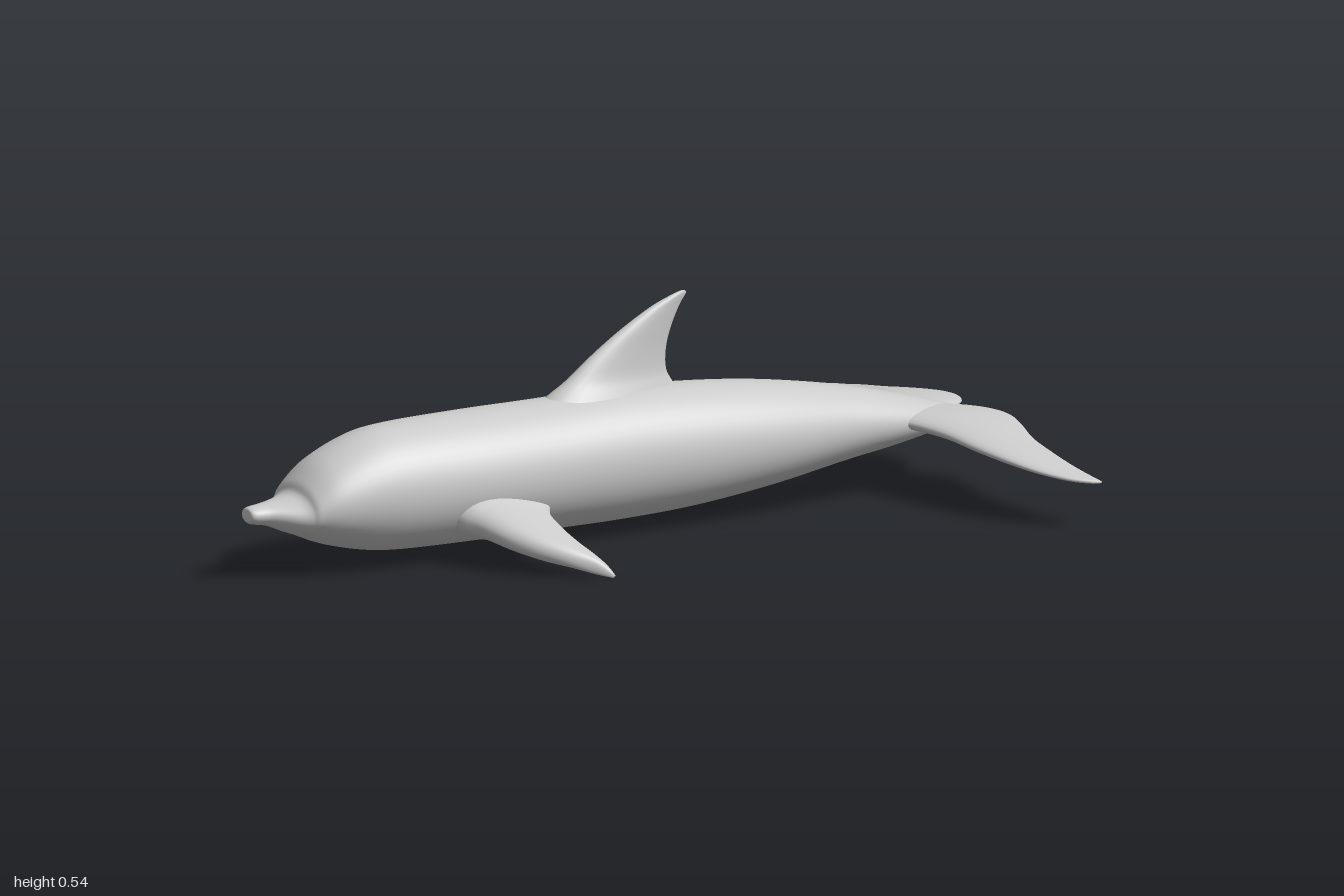
import * as THREE from 'three';

const material = new THREE.MeshStandardMaterial({ color: 0xcccccc, side: THREE.DoubleSide });

// Smooth skin over closed rings; ring(t) gives a function angle -> Vector3
function loft(name, ring, rows, cols) {
  const pos = [], idx = [];
  for (let i = 0; i <= rows; i++) {
    const at = ring(i / rows);
    for (let j = 0; j < cols; j++) pos.push(...at((j / cols) * Math.PI * 2).toArray());
  }
  for (let i = 0; i < rows; i++) {
    for (let j = 0; j < cols; j++) {
      const k = (j + 1) % cols;
      const a = i * cols + j, b = i * cols + k, c = a + cols, d = b + cols;
      idx.push(a, b, c, b, d, c);
    }
  }
  // Caps at both ends
  for (const [row, flip] of [[0, true], [rows, false]]) {
    const o = row * cols;
    for (let j = 1; j < cols - 1; j++) {
      idx.push(o, flip ? o + j + 1 : o + j, flip ? o + j : o + j + 1);
    }
  }
  const geo = new THREE.BufferGeometry();
  geo.setAttribute('position', new THREE.Float32BufferAttribute(pos, 3));
  geo.setIndex(idx);
  geo.computeVertexNormals();
  const mesh = new THREE.Mesh(geo, material);
  mesh.name = name;
  return mesh;
}

// Smoothly samples rows of numbers, t from 0 to 1
function sampler(table) {
  const curves = table[0].map((_, c) =>
    new THREE.SplineCurve(table.map((row, i) => new THREE.Vector2(i, row[c]))));
  return t => curves.map(curve => curve.getPoint(t).y);
}

// Body sections: x, bottom, top, half width
const bodySections = sampler([
  [-1.0, 0.152, 0.17, 0.012],
  [-0.993, 0.14, 0.179, 0.027],
  [-0.95, 0.131, 0.184, 0.04],
  [-0.9, 0.11, 0.19, 0.073],
  [-0.873, 0.1, 0.2, 0.092],
  [-0.855, 0.092, 0.228, 0.105],
  [-0.8, 0.07, 0.275, 0.123],
  [-0.7, 0.045, 0.317, 0.139],
  [-0.6, 0.034, 0.331, 0.147],
  [-0.4, 0.03, 0.335, 0.153],
  [-0.2, 0.03, 0.335, 0.15],
  [0, 0.03, 0.337, 0.147],
  [0.2, 0.038, 0.328, 0.145],
  [0.4, 0.06, 0.307, 0.135],
  [0.6, 0.092, 0.272, 0.112],
  [0.72, 0.11, 0.243, 0.1],
  [0.82, 0.128, 0.215, 0.082],
  [0.9, 0.147, 0.192, 0.05],
  [0.945, 0.163, 0.177, 0.012],
]);

function bodyRing(t) {
  const [x, bottom, top, w] = bodySections(t);
  return a => new THREE.Vector3(x, (top + bottom) / 2 + Math.sin(a) * (top - bottom) / 2, Math.cos(a) * w);
}

// Fin sections: span, front x, back x, height offset, thickness.
// The outline is blunt at the front and thin at the back.
function fin(name, table, place, rows = 36) {
  const section = sampler(table);
  return loft(name, t => {
    const [span, front, back, lift, thick] = section(t);
    return a => {
      const u = (1 - Math.cos(a)) / 2;
      const x = front + (back - front) * u;
      const y = Math.sin(a) * thick / 2 * (1.25 - 0.75 * u);
      return place(x, lift + y, span);
    };
  }, rows, 28);
}

const flipperSections = [
  [0.08, -0.53, -0.22, 0.125, 0.12],
  [0.14, -0.505, -0.26, 0.112, 0.105],
  [0.18, -0.482, -0.281, 0.103, 0.085],
  [0.25, -0.45, -0.287, 0.083, 0.072],
  [0.31, -0.408, -0.283, 0.064, 0.06],
  [0.36, -0.355, -0.273, 0.046, 0.046],
  [0.395, -0.3, -0.262, 0.026, 0.034],
  [0.417, -0.263, -0.255, 0.008, 0.01],
];

const flukeSections = [
  [0, 0.72, 0.925, 0.178, 0.05],
  [0.03, 0.722, 0.965, 0.178, 0.05],
  [0.08, 0.735, 0.992, 0.177, 0.05],
  [0.14, 0.757, 0.998, 0.174, 0.048],
  [0.21, 0.776, 0.982, 0.168, 0.043],
  [0.3, 0.79, 0.957, 0.157, 0.037],
  [0.4, 0.815, 0.95, 0.143, 0.03],
  [0.48, 0.85, 0.953, 0.129, 0.022],
  [0.54, 0.893, 0.961, 0.118, 0.016],
  [0.572, 0.935, 0.967, 0.112, 0.01],
  [0.582, 0.96, 0.966, 0.11, 0.004],
];

// Span is the height of the dorsal fin
const dorsalSections = [
  [0.28, -0.26, 0.2, 0, 0.17],
  [0.335, -0.18, 0.16, 0, 0.105],
  [0.37, -0.127, 0.142, 0, 0.07],
  [0.42, -0.061, 0.143, 0, 0.05],
  [0.47, 0.015, 0.158, 0, 0.037],
  [0.515, 0.097, 0.18, 0, 0.024],
  [0.538, 0.155, 0.196, 0, 0.014],
  [0.546, 0.182, 0.194, 0, 0.006],
];

export function createModel() {
  const model = new THREE.Group();
  model.name = 'dolphin';
  model.add(loft('body', bodyRing, 110, 48));
  model.add(fin('dorsalFin', dorsalSections, (x, y, s) => new THREE.Vector3(x, s, -y)));

  // Paired fins, mirrored across the body
  for (const [label, side] of [['front', 1], ['back', -1]]) {
    const place = (x, y, s) => new THREE.Vector3(x, y, s * side);
    for (const mesh of [
      fin(label + 'Flipper', flipperSections, place),
      fin(label + 'Fluke', flukeSections, place, 48),
    ]) {
      // Keep faces pointing outward on the side where the winding is reversed
      if (side < 0) {
        mesh.geometry.index.array.reverse();
        mesh.geometry.computeVertexNormals();
      }
      model.add(mesh);
    }
  }
  return model;
}
